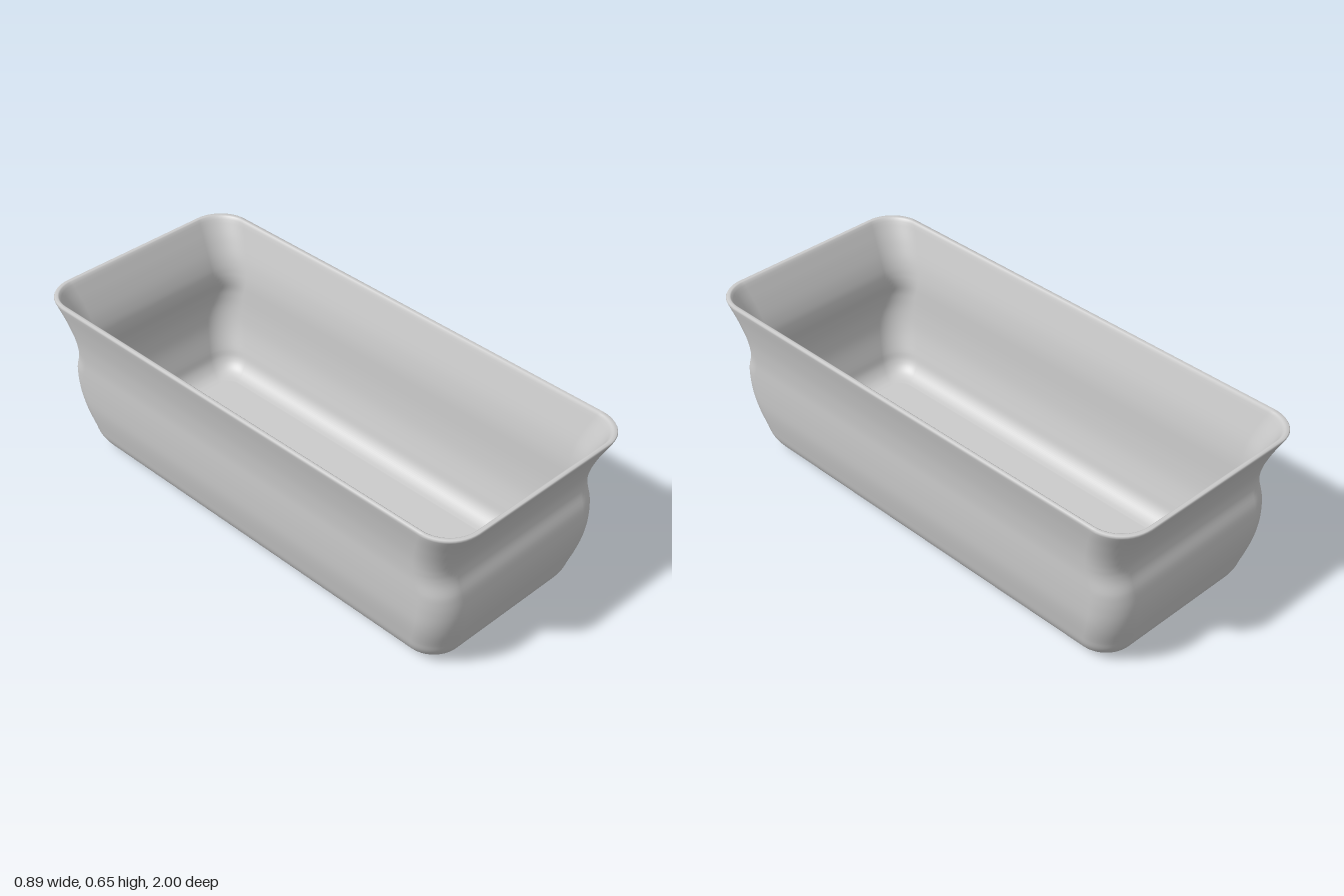
import * as THREE from 'three';

const CORNER = 12; // segments per rounded corner

// Points of a rounded rectangle at one height
function ring(hx, y, hz, r) {
  const pts = [];
  const corners = [[1, 1], [-1, 1], [-1, -1], [1, -1]];
  corners.forEach(([sx, sz], q) => {
    for (let i = 0; i <= CORNER; i++) {
      const a = (q + i / CORNER) * Math.PI / 2;
      pts.push(sx * (hx - r) + r * Math.cos(a), y, sz * (hz - r) + r * Math.sin(a));
    }
  });
  return pts;
}

// Smooth run of sections through rows of [half width, height, half length, corner radius]
function sections(rows, steps) {
  const size = new THREE.CatmullRomCurve3(rows.map(([x, y, z]) => new THREE.Vector3(x, y, z)), false, 'centripetal');
  return Array.from({ length: steps + 1 }, (_, i) => {
    const t = i / steps, p = size.getPoint(t);
    const k = Math.min(Math.floor(t * (rows.length - 1)), rows.length - 2);
    const r = THREE.MathUtils.lerp(rows[k][3], rows[k + 1][3], t * (rows.length - 1) - k);
    return [p.x, p.y, p.z, r];
  });
}

// Skin the sections and close both ends with a flat fan
function loft(secs) {
  const pos = [], idx = [], n = 4 * (CORNER + 1);
  secs.forEach((s) => pos.push(...ring(...s)));
  for (let j = 0; j < secs.length - 1; j++) {
    for (let i = 0; i < n; i++) {
      const a = j * n + i, b = j * n + (i + 1) % n;
      idx.push(a, a + n, b, b, a + n, b + n);
    }
  }
  const last = (secs.length - 1) * n, c = secs.length * n;
  pos.push(0, secs[0][1], 0, 0, secs[secs.length - 1][1], 0);
  for (let i = 0; i < n; i++) {
    const k = (i + 1) % n;
    idx.push(c, i, k, c + 1, last + k, last + i);
  }
  const geo = new THREE.BufferGeometry();
  geo.setAttribute('position', new THREE.Float32BufferAttribute(pos, 3));
  geo.setIndex(idx);
  geo.computeVertexNormals();
  return geo;
}

export function createModel() {
  const group = new THREE.Group();
  group.name = 'loafTray';

  // Outside: rounded foot, bulging belly, pinched neck, flared lip
  const outer = sections([
    [0.275, 0, 0.80, 0.06],
    [0.305, 0.008, 0.832, 0.08],
    [0.338, 0.03, 0.866, 0.1],
    [0.36, 0.065, 0.89, 0.11],
    [0.372, 0.11, 0.906, 0.115],
    [0.39, 0.2, 0.933, 0.115],
    [0.397, 0.28, 0.943, 0.11],
    [0.4, 0.35, 0.935, 0.1],
    [0.401, 0.405, 0.918, 0.1],
    [0.404, 0.445, 0.915, 0.1],
    [0.411, 0.5, 0.93, 0.11],
    [0.425, 0.57, 0.96, 0.12],
    [0.442, 0.638, 0.997, 0.13],
  ], 60);

  // Narrow rounded rim
  const rim = [
    [0.443, 0.645, 1.0, 0.13],
    [0.44, 0.65, 0.997, 0.127],
    [0.43, 0.65, 0.987, 0.12],
    [0.426, 0.648, 0.982, 0.117],
  ];

  // Inside wall down to the floor, following the outside
  const inner = sections([
    [0.422, 0.638, 0.975, 0.115],
    [0.405, 0.57, 0.938, 0.11],
    [0.389, 0.5, 0.906, 0.1],
    [0.381, 0.445, 0.891, 0.09],
    [0.378, 0.405, 0.893, 0.09],
    [0.377, 0.35, 0.909, 0.09],
    [0.375, 0.28, 0.919, 0.095],
    [0.368, 0.2, 0.91, 0.1],
    [0.35, 0.11, 0.883, 0.1],
    [0.34, 0.07, 0.87, 0.095],
    [0.32, 0.042, 0.848, 0.08],
    [0.295, 0.027, 0.822, 0.065],
    [0.27, 0.022, 0.795, 0.05],
  ], 60);

  const tray = new THREE.Mesh(
    loft([...outer, ...rim, ...inner]),
    new THREE.MeshStandardMaterial({ color: 0xcccccc }),
  );
  tray.name = 'trayShell';
  group.add(tray);
  return group;
}
